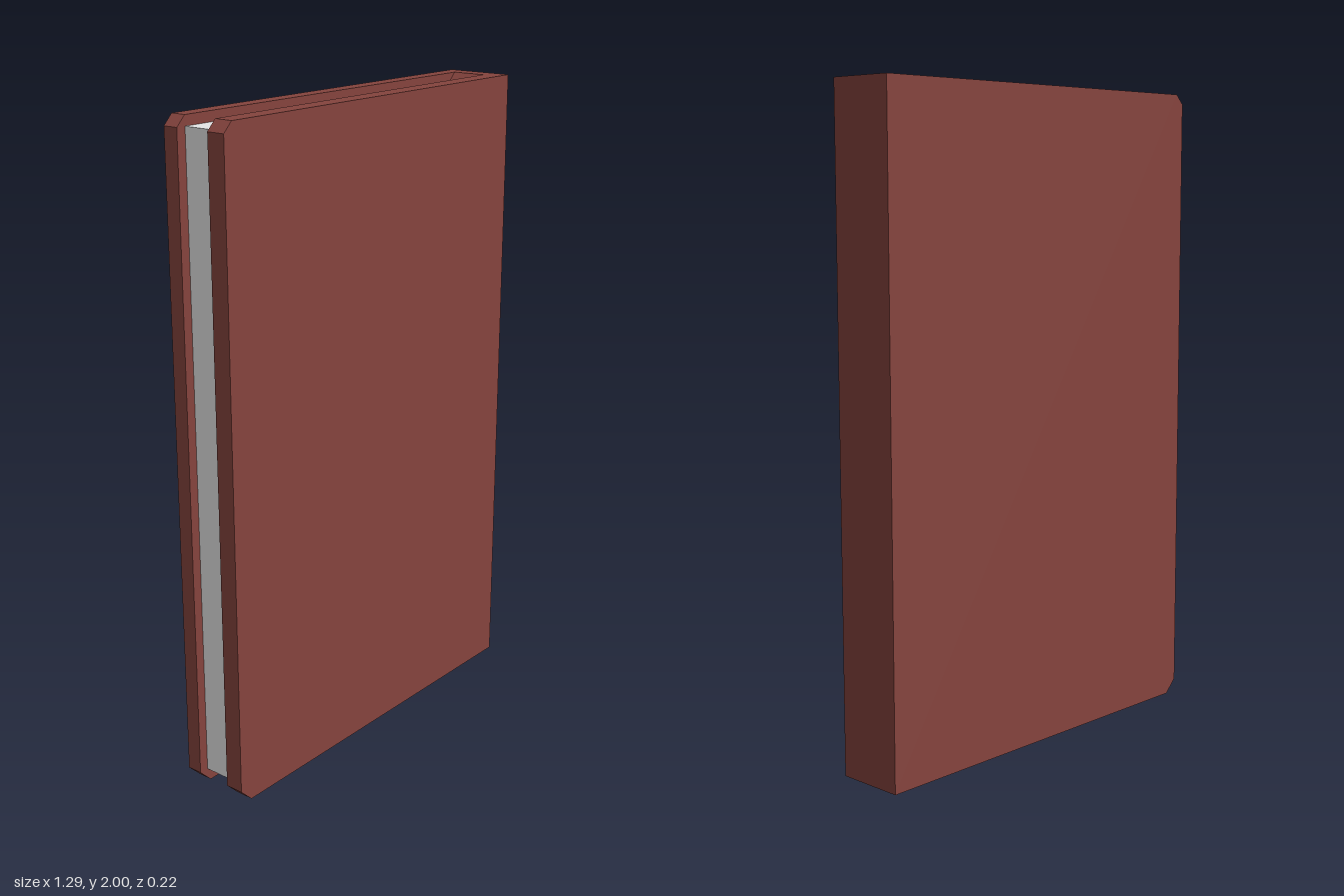
import * as THREE from 'three';

const brown = new THREE.MeshStandardMaterial({ color: 0x86443e });
brown.name = 'brown cover';
const paper = new THREE.MeshStandardMaterial({ color: 0xe7e7e7 });
paper.name = 'pale paper';

// Extrudes an x-y outline between two z positions
function slab(name, points, z0, z1, material) {
  const shape = new THREE.Shape(points.map(([x, y]) => new THREE.Vector2(x, y)));
  const geometry = new THREE.ExtrudeGeometry(shape, { depth: z1 - z0, bevelEnabled: false });
  geometry.translate(0, 0, z0);
  const mesh = new THREE.Mesh(geometry, material);
  mesh.name = name;
  return mesh;
}

export function createModel() {
  const book = new THREE.Group();
  book.name = 'book';
  const halfWidth = 0.643, halfDepth = 0.108;
  const innerBack = -0.06, innerFront = 0.05;
  const topInset = 0.03, bottomInset = 0.042;
  const pageTop = 2 - topInset;

  // Cover boards, with clipped corners on the open side
  const board = [
    [halfWidth, 0], [halfWidth, 2],
    [-halfWidth + topInset, 2], [-halfWidth, pageTop],
    [-halfWidth, bottomInset], [-halfWidth + bottomInset, 0],
  ];
  book.add(slab('frontCover', board, innerFront, halfDepth, brown));
  book.add(slab('backCover', board, -halfDepth, innerBack, brown));

  // Spine, sloping inward to meet the pages
  const spine = [
    [halfWidth, 0], [halfWidth, 2], [0.59, 2],
    [0.56, pageTop], [0.56, bottomInset], [0.59, 0],
  ];
  book.add(slab('spine', spine, innerBack, innerFront, brown));

  // Page block, recessed on its three open edges
  const pages = [[-0.613, bottomInset], [0.56, bottomInset], [0.56, pageTop], [-0.613, pageTop]];
  book.add(slab('pages', pages, innerBack, innerFront, paper));

  return book;
}
